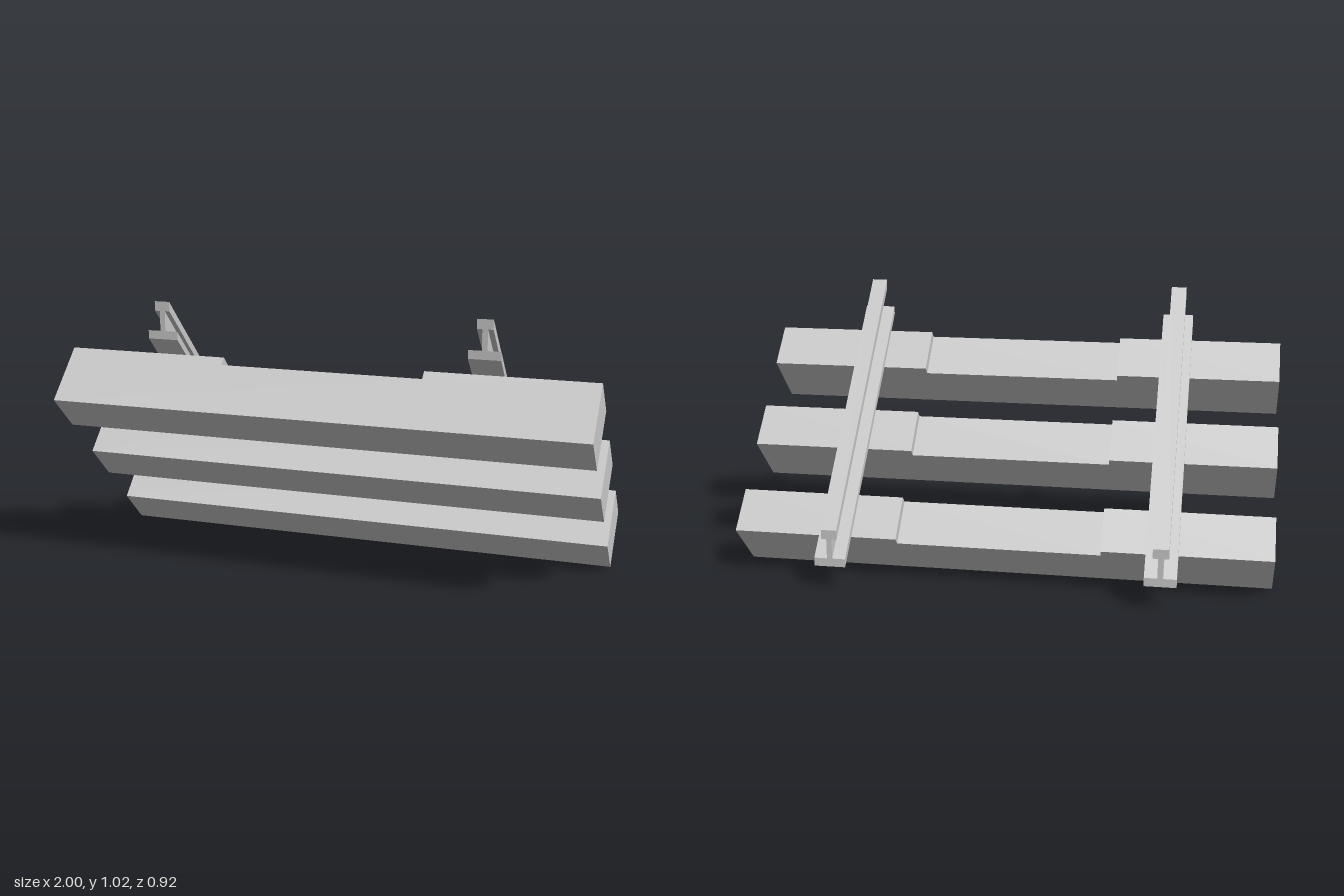
import * as THREE from 'three';

const shapeFrom = (pts) => new THREE.Shape(pts.map(([x, y]) => new THREE.Vector2(x, y)));

// Extrude an outline along z, centred on z = 0
function extrudeCentred(shape, depth) {
  const geo = new THREE.ExtrudeGeometry(shape, { depth, bevelEnabled: false });
  return geo.translate(0, 0, -depth / 2);
}

export function createModel() {
  const model = new THREE.Group();
  model.name = 'railTrack';

  const grey = new THREE.MeshStandardMaterial({ color: 0xcccccc });
  grey.name = 'plainGrey';

  // Sleepers: blocks with a shallow recess in the middle of the top face
  const h = 0.1195, recess = 0.033, n = 0.38;
  const sleeperGeo = extrudeCentred(shapeFrom([
    [-1, -h], [1, -h], [1, h], [n, h], [n, h - recess],
    [-n, h - recess], [-n, h], [-1, h],
  ]), 0.175);
  for (let i = -1; i <= 1; i++) {
    const sleeper = new THREE.Mesh(sleeperGeo, grey);
    sleeper.name = 'sleeper' + (i + 2);
    sleeper.rotation.x = -Math.PI / 4;
    sleeper.position.set(0, 0.414 + i * 0.265, 0.0515 + i * 0.265);
    model.add(sleeper);
  }

  // Rails: I-section with foot, web and head, sheared up the slope so the ends stay vertical
  const half = [[0.058, 0], [0.058, 0.031], [0.01, 0.031], [0.01, 0.105], [0.029, 0.105], [0.029, 0.14]];
  const mirrored = half.map(([x, y]) => [-x, y]).reverse();
  const railGeo = extrudeCentred(shapeFrom([...half, ...mirrored]), 0.797);
  const pos = railGeo.attributes.position;
  for (let i = 0; i < pos.count; i++) pos.setY(i, pos.getY(i) + pos.getZ(i));
  railGeo.computeVertexNormals();
  for (const side of [-1, 1]) {
    const rail = new THREE.Mesh(railGeo, grey);
    rail.name = side > 0 ? 'leftRail' : 'rightRail';
    rail.position.set(side * 0.603, 0.489, -0.063);
    model.add(rail);
  }

  return model;
}
